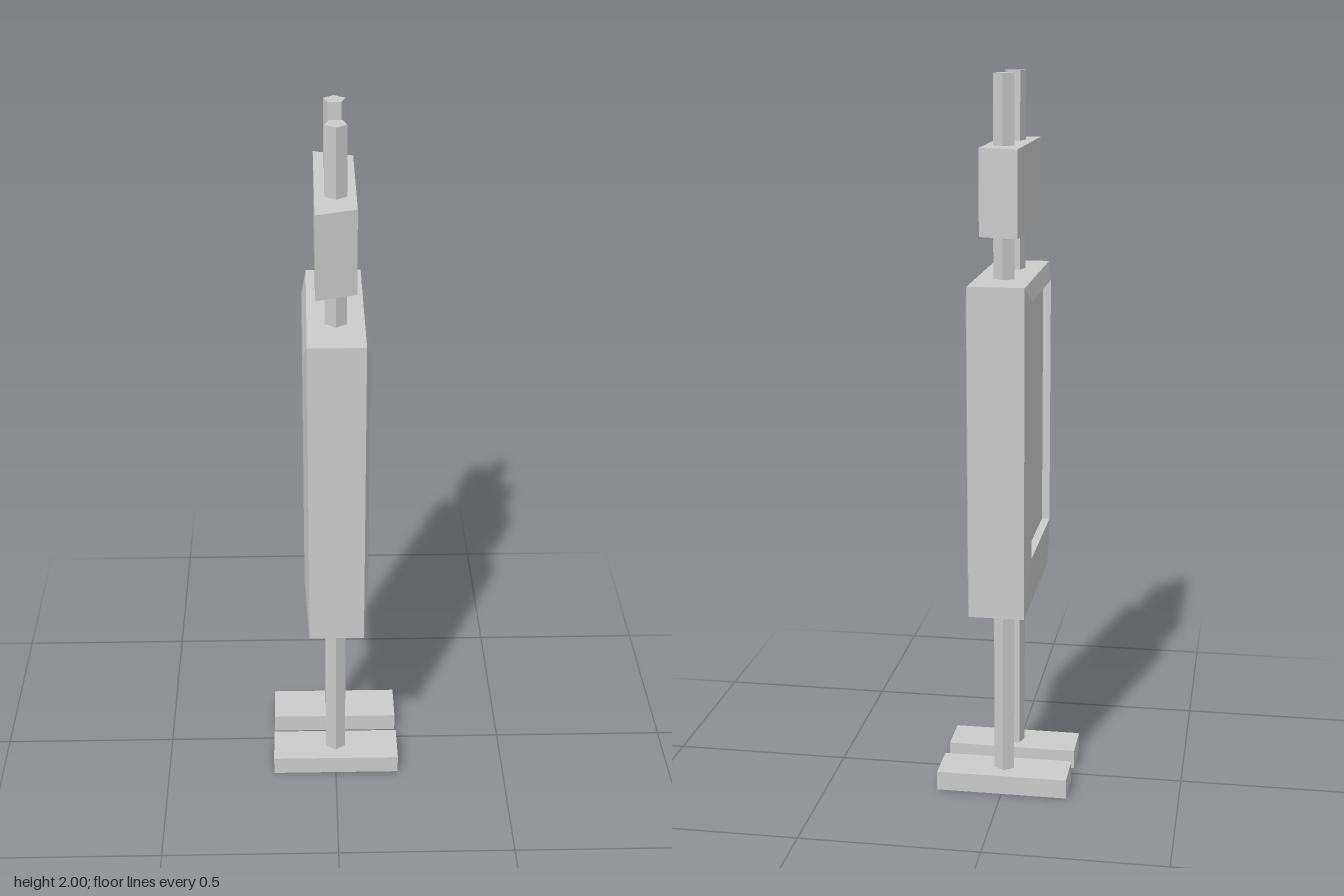
import * as THREE from 'three';

const material = new THREE.MeshStandardMaterial({ color: 0xcccccc, flatShading: true });

function part(name, geometry, x = 0, y = 0, z = 0) {
  const mesh = new THREE.Mesh(geometry, material);
  mesh.name = name;
  mesh.position.set(x, y, z);
  return mesh;
}

// Closed solid through rectangular loops [x, bottom, top, halfDepth], listed from -x to +x
function loft(loops) {
  const points = loops.flatMap(([x, y0, y1, d]) => [x, y0, -d, x, y0, d, x, y1, d, x, y1, -d]);
  const index = [0, 1, 2, 0, 2, 3];
  for (let i = 0; i < loops.length - 1; i++) {
    for (let j = 0; j < 4; j++) {
      const a = i * 4 + j, b = i * 4 + (j + 1) % 4;
      index.push(a, b + 4, b, a, a + 4, b + 4);
    }
  }
  const e = (loops.length - 1) * 4;
  index.push(e, e + 2, e + 1, e, e + 3, e + 2);
  const indexed = new THREE.BufferGeometry();
  indexed.setAttribute('position', new THREE.Float32BufferAttribute(points, 3));
  indexed.setIndex(index);
  const geometry = indexed.toNonIndexed();
  geometry.computeVertexNormals();
  return geometry;
}

export function createModel() {
  const model = new THREE.Group();
  model.name = 'displayStand';

  // Cabinet with sloped bezels and a recessed panel on each broad side
  const halfCabinet = [
    [0.076, 0.56, 1.465, 0.24],
    [0.088, 0.715, 1.42, 0.187],
    [0.066, 0.715, 1.42, 0.187],
  ];
  const mirrored = halfCabinet.map(([x, ...rest]) => [-x, ...rest]).reverse();
  model.add(part('cabinet', loft([...mirrored, ...halfCabinet])));

  // Upper box, narrower towards +x
  model.add(part('headerBox', loft([
    [-0.054, 1.587, 1.815, 0.222],
    [0.052, 1.587, 1.815, 0.187],
  ])));

  // Five-sided poles pointing outwards, each on a flat foot
  for (const [side, s] of [['front', 1], ['back', -1]]) {
    const pole = part(side + 'Pole', new THREE.CylinderGeometry(0.03, 0.03, 1.97, 5), 0, 1.015, s * 0.092);
    if (s < 0) pole.rotation.y = Math.PI;
    model.add(pole);
    model.add(part(side + 'Foot', new THREE.BoxGeometry(0.37, 0.055, 0.125), 0, 0.0275, s * 0.0975));
  }
  return model;
}
